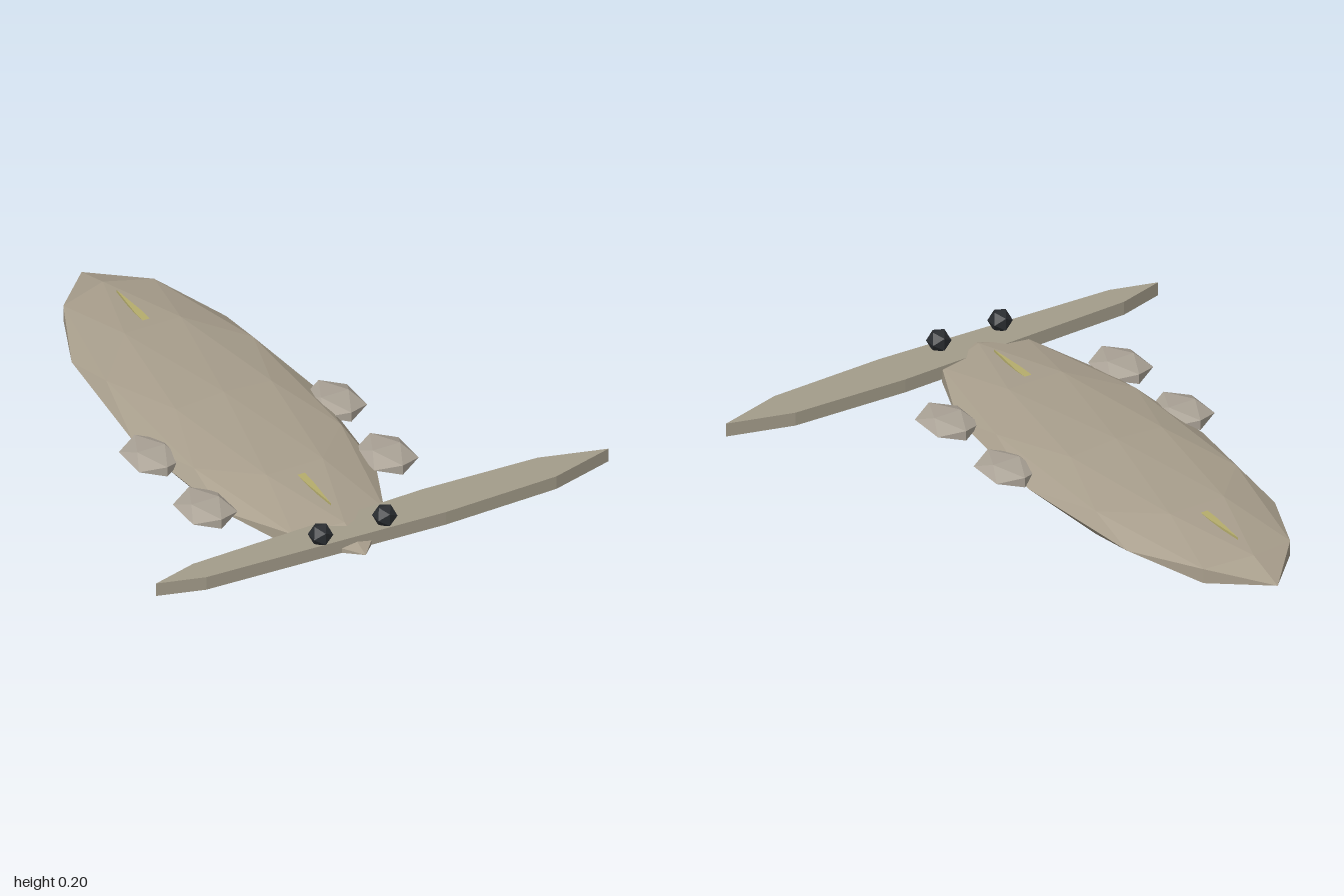
import * as THREE from 'three';

const mat = (color) => new THREE.MeshStandardMaterial({ color, flatShading: true });

// Faceted ellipsoid
function ellipsoid(name, material, detail, [sx, sy, sz], [x, y, z]) {
  const mesh = new THREE.Mesh(new THREE.IcosahedronGeometry(1, detail).scale(sx, sy, sz), material);
  mesh.name = name;
  mesh.position.set(x, y, z);
  return mesh;
}

// Flat horizontal slab from an outline in (x, z), between two heights
function slab(name, material, outline, bottom, top) {
  const shape = new THREE.Shape(outline.map(([x, z]) => new THREE.Vector2(x, z)));
  const geo = new THREE.ExtrudeGeometry(shape, { depth: top - bottom, bevelEnabled: false });
  geo.rotateX(Math.PI / 2).translate(0, top, 0);
  const mesh = new THREE.Mesh(geo, material);
  mesh.name = name;
  return mesh;
}

export function createModel() {
  const model = new THREE.Group();
  model.name = 'flatFish';

  // Everything shares the slight yaw of the body
  const fish = new THREE.Group();
  fish.name = 'fish';
  fish.rotation.y = -0.105;
  fish.position.set(-0.045, 0, -0.01);
  model.add(fish);

  // Body
  fish.add(ellipsoid('body', mat(0xa89e8c), 1, [0.348, 0.088, 0.995], [0, 0.094, 0]));

  // Side fins and eyes, mirrored
  const finMat = mat(0xaaa296);
  const eyeMat = mat(0x2a2d31);
  for (const [side, s] of [['left', 1], ['right', -1]]) {
    fish.add(ellipsoid(side + 'FrontFin', finMat, 0, [0.1, 0.035, 0.135], [s * 0.347, 0.112, 0.505]));
    fish.add(ellipsoid(side + 'RearFin', finMat, 0, [0.1, 0.035, 0.135], [s * 0.352, 0.112, 0.135]));
    fish.add(ellipsoid(side + 'Eye', eyeMat, 0, [0.043, 0.043, 0.043], [s * 0.123, 0.163, 0.903]));
  }

  // Wide tapered head bar
  const bar = slab('headBar', mat(0xa39c8a), [
    [-0.867, 0], [-0.7, -0.047], [0.2, -0.081], [0.63, -0.066],
    [0.867, 0], [0.63, 0.066], [0.2, 0.081], [-0.7, 0.047],
  ], 0.085, 0.135);
  bar.position.set(0.134, 0, 0.866);
  fish.add(bar);

  // Thin back stripe, its middle sunk in the body
  fish.add(slab('backStripe', mat(0xb5ad6c), [
    [0, -0.75], [0.013, -0.6], [0.02, 0], [0.013, 0.6],
    [0, 0.75], [-0.013, 0.6], [-0.02, 0], [-0.013, -0.6],
  ], 0.153, 0.162));

  // Small belly patch
  fish.add(slab('bellyPatch', mat(0xb08c98), [
    [0, -0.08], [0.025, 0], [0, 0.08], [-0.025, 0],
  ], 0, 0.012));

  return model;
}
